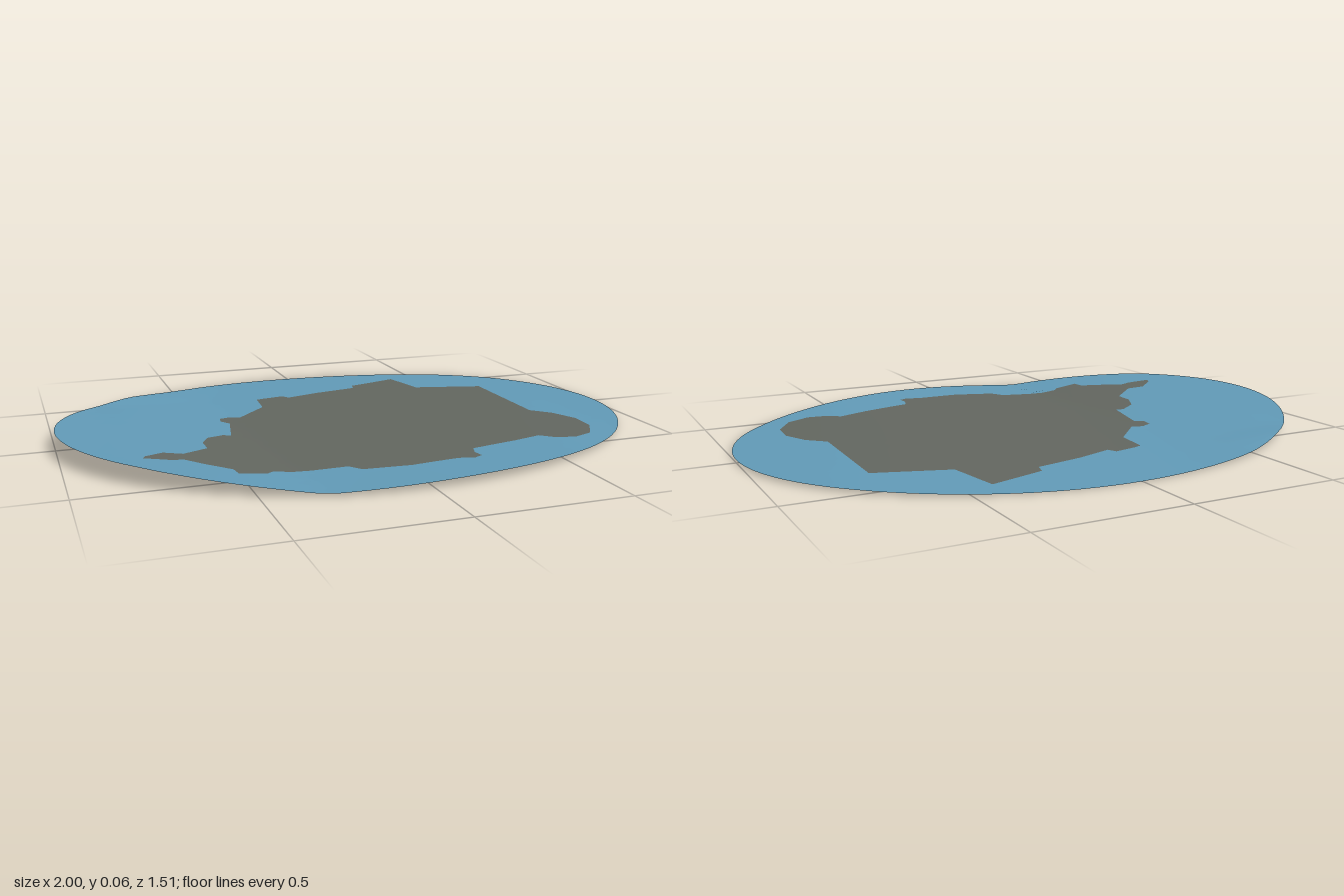
import * as THREE from 'three';
import { mergeVertices } from 'three/addons/utils/BufferGeometryUtils.js';

const RX = 1, RZ = 0.755;

// Outline of the grey patch, as x, z pairs
const PATCH = [
  0.405, -0.59, 0.44, -0.405, 0.685, -0.33, 0.68, 0.09, 0.74, 0.15, 0.78, 0.24, 0.775, 0.34,
  0.72, 0.43, 0.64, 0.465, 0.57, 0.45, 0.53, 0.415, 0.42, 0.45, 0.25, 0.49, 0.235, 0.53,
  0.24, 0.57, 0.21, 0.585, 0.16, 0.57, 0, 0.58, -0.15, 0.555, -0.18, 0.51, -0.41, 0.49,
  -0.43, 0.51, -0.52, 0.515, -0.525, 0.47, -0.6, 0.41, -0.65, 0.36, -0.69, 0.365, -0.77, 0.345,
  -0.76, 0.32, -0.70, 0.275, -0.64, 0.29, -0.55, 0.22, -0.55, 0.15, -0.52, 0.085, -0.46, 0.05,
  -0.435, 0.06, -0.40, -0.11, -0.425, -0.14, -0.42, -0.18, -0.38, -0.195, -0.345, -0.18,
  -0.23, -0.30, -0.22, -0.42, -0.19, -0.43, -0.11, -0.445, -0.095, -0.415, 0.03, -0.455,
  0.2, -0.49, 0.21, -0.53,
];

// Height of the sheet: a gently twisted main area and a lifted flap beyond a crease
function height(x, z) {
  const crease = -0.38 + 0.09 * z;
  if (x < crease) {
    const t = (crease - x) / (1 + crease);
    const ridge = Math.max(0, 1 - Math.hypot((x + 0.68) / 0.25, (z + 0.55) / 0.12));
    return 0.008 + 0.052 * t + z * 0.05 * Math.min(t, 0.7) + 0.007 * ridge;
  }
  const u = (x - crease) / (1 - crease);
  const swell = Math.sin(Math.PI * Math.min(1, u * 1.15));
  return 0.008 + 0.002 * u + swell * (0.0045 + z * 0.017);
}

// Flat shape, cut into small triangles and then lifted to the sheet height
function drape(shape) {
  const flat = new THREE.ShapeGeometry(shape, 1);
  const pos = flat.attributes.position, index = flat.index;
  const corner = (i) => [pos.getX(index.getX(i)), -pos.getY(index.getX(i))];
  const out = [];
  const split = (a, b, c) => {
    const lengths = [[a, b], [b, c], [c, a]].map(([p, q]) => Math.hypot(p[0] - q[0], p[1] - q[1]));
    const longest = Math.max(...lengths);
    if (longest < 0.07) {
      for (const [x, z] of [a, b, c]) out.push(x, height(x, z), z);
      return;
    }
    if (longest === lengths[1]) [a, b, c] = [b, c, a];
    else if (longest === lengths[2]) [a, b, c] = [c, a, b];
    const m = [(a[0] + b[0]) / 2, (a[1] + b[1]) / 2];
    split(a, m, c);
    split(m, b, c);
  };
  for (let i = 0; i < index.count; i += 3) split(corner(i), corner(i + 1), corner(i + 2));
  const soup = new THREE.BufferGeometry();
  soup.setAttribute('position', new THREE.Float32BufferAttribute(out, 3));
  const geometry = mergeVertices(soup, 1e-5);
  geometry.computeVertexNormals();
  return geometry;
}

export function createModel() {
  const blue = new THREE.MeshStandardMaterial({ color: 0x629bb8, side: THREE.DoubleSide });
  blue.name = 'waterBlue';
  const grey = new THREE.MeshStandardMaterial({ color: 0x636760, side: THREE.DoubleSide });
  grey.name = 'landGrey';

  const outline = [];
  for (let i = 0; i < PATCH.length; i += 2) outline.push(new THREE.Vector2(PATCH[i], -PATCH[i + 1]));
  const rim = [];
  for (let i = 0; i < 128; i++) {
    const a = (i / 128) * Math.PI * 2;
    rim.push(new THREE.Vector2(RX * Math.cos(a), RZ * Math.sin(a)));
  }

  // Oval sheet with an opening exactly filled by the patch
  const ovalShape = new THREE.Shape(rim);
  ovalShape.holes.push(new THREE.Path(outline));
  const sheet = new THREE.Mesh(drape(ovalShape), blue);
  sheet.name = 'ovalSheet';
  const patch = new THREE.Mesh(drape(new THREE.Shape(outline)), grey);
  patch.name = 'landPatch';

  const group = new THREE.Group();
  group.name = 'ovalMapSheet';
  group.add(sheet, patch);

  // Rest the lowest point on the ground
  group.position.y = -new THREE.Box3().setFromObject(group).min.y;
  return group;
}
